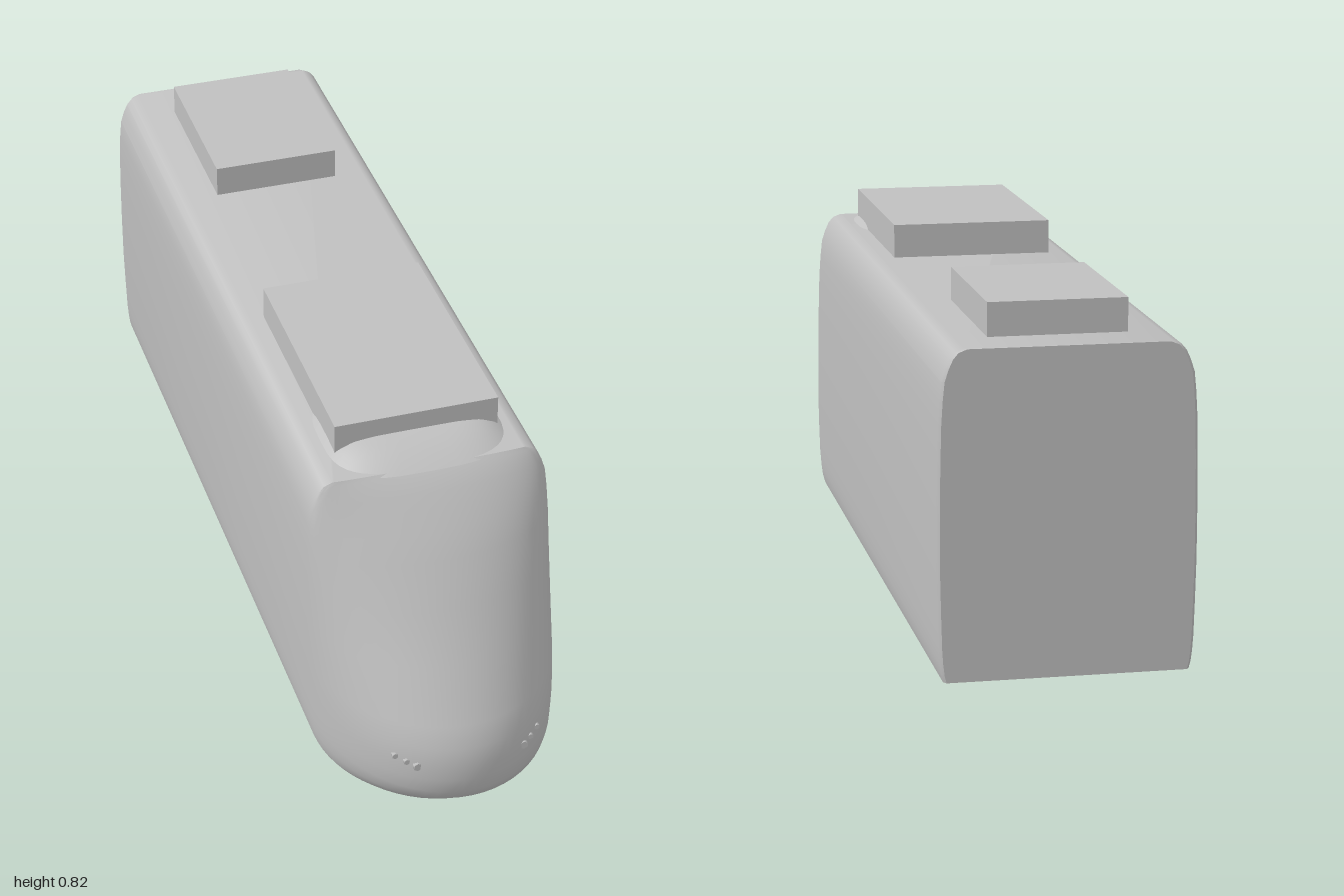
import * as THREE from 'three';
import { toCreasedNormals } from 'three/addons/utils/BufferGeometryUtils.js';

// Skin stacked horizontal rings of [x, y, z] points and close both ends
function loft(rings, crease) {
  const n = rings[0].length, pos = rings.flat(2), idx = [];
  for (let r = 0; r < rings.length - 1; r++) {
    for (let i = 0; i < n; i++) {
      const a = r * n + i, b = r * n + (i + 1) % n;
      idx.push(a, a + n, b, b, a + n, b + n);
    }
  }
  const top = (rings.length - 1) * n;
  for (let i = 1; i < n - 1; i++) {
    idx.push(0, i, i + 1, top, top + i + 1, top + i);
  }
  const g = new THREE.BufferGeometry();
  g.setAttribute('position', new THREE.Float32BufferAttribute(pos, 3));
  g.setIndex(idx);
  return toCreasedNormals(g, crease);
}

// Straight sides, half-elliptical nose and a slightly eased tail
function bodyRing([y, w, front]) {
  const ring = [[w, y, -0.992]], start = 0.655, steps = 32;
  for (let i = 0; i <= steps; i++) {
    const t = Math.PI * i / steps;
    ring.push([w * Math.cos(t), y, start + (front - start) * Math.sin(t)]);
  }
  ring.push([-w, y, -0.992], [-w + 0.006, y, -1], [w - 0.006, y, -1]);
  return ring;
}

// Rounded-rectangle outline for the roof fairing
function fairingRing([y, w, back, front]) {
  const ring = [], steps = 40;
  const soft = v => Math.sign(v) * Math.abs(v) ** 0.6;
  for (let i = 0; i < steps; i++) {
    const t = 2 * Math.PI * i / steps;
    ring.push([w * soft(Math.cos(t)), y,
      (back + front) / 2 + (front - back) / 2 * soft(Math.sin(t))]);
  }
  return ring;
}

export function createModel() {
  const model = new THREE.Group();
  const grey = new THREE.MeshStandardMaterial({ color: 0xc0c0c0 });
  grey.name = 'light grey';

  function add(name, geometry, x = 0, y = 0, z = 0) {
    const mesh = new THREE.Mesh(geometry, grey);
    mesh.name = name;
    mesh.position.set(x, y, z);
    model.add(mesh);
    return mesh;
  }

  // Car body: height, half width, nose position
  const levels = [
    [0.06, 0.255, 0.93], [0.075, 0.259, 0.955], [0.1, 0.262, 0.982],
    [0.13, 0.264, 0.997], [0.165, 0.265, 1], [0.2, 0.266, 1],
    [0.245, 0.267, 0.992], [0.29, 0.268, 0.97], [0.4, 0.268, 0.903],
    [0.5, 0.267, 0.842], [0.59, 0.265, 0.787], [0.64, 0.262, 0.752],
    [0.68, 0.258, 0.72], [0.705, 0.25, 0.7], [0.725, 0.241, 0.682],
    [0.738, 0.23, 0.668], [0.745, 0.212, 0.66],
  ];
  add('body', loft(levels.map(bodyRing), 0.65));

  // Low fairing behind the windshield
  const fairing = [
    [0.74, 0.2, 0.35, 0.672], [0.758, 0.178, 0.37, 0.642],
    [0.772, 0.152, 0.395, 0.605], [0.777, 0.125, 0.42, 0.58],
    [0.778, 0.08, 0.45, 0.56],
  ];
  add('roofFairing', loft(fairing.map(fairingRing), 0.8));

  // Roof equipment boxes
  add('frontRoofBox', new THREE.BoxGeometry(0.36, 0.08, 0.54), 0, 0.78, 0.3);
  add('rearRoofBox', new THREE.BoxGeometry(0.29, 0.08, 0.4), 0, 0.776, -0.69);

  // Wheels and headlights on both sides
  for (const side of [-1, 1]) {
    for (const z of [0.015, -0.395]) {
      const wheel = new THREE.CylinderGeometry(0.062, 0.062, 0.02, 8);
      wheel.rotateZ(Math.PI / 2);
      add('wheel', wheel, side * 0.17, 0.062, z);
    }
    for (const [x, y, r] of [[0.118, 0.198, 0.01], [0.138, 0.205, 0.007], [0.158, 0.212, 0.007]]) {
      const lamp = new THREE.CylinderGeometry(r, r, 0.012, 6);
      lamp.rotateX(Math.PI / 2);
      const z = 0.655 + 0.345 * Math.sqrt(1 - (x / 0.266) ** 2);
      add('headlight', lamp, side * x, y, z - 0.003);
    }
  }
  return model;
}
